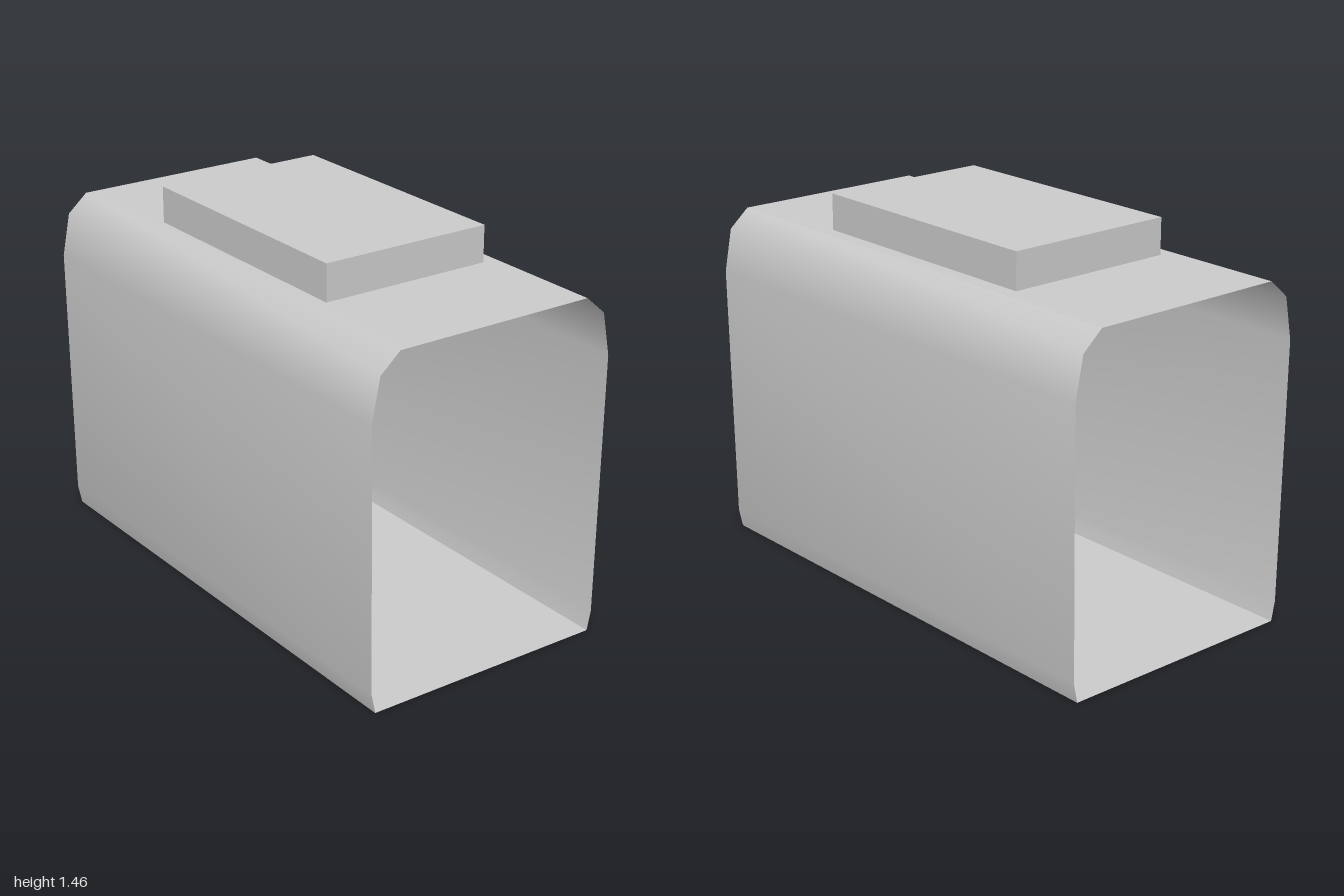
import * as THREE from 'three';
import { toCreasedNormals } from 'three/addons/utils/BufferGeometryUtils.js';

// Open-ended sleeve: a closed cross-section swept along z, without wall thickness
function sleeveGeometry(half, length) {
  const mirrored = half.map(([x, y]) => [-x, y]).reverse();
  const loop = [...half, ...mirrored];
  const z = length / 2;
  const positions = [];
  loop.forEach((p, i) => {
    const q = loop[(i + 1) % loop.length];
    positions.push(...p, -z, ...q, -z, ...q, z);
    positions.push(...p, -z, ...q, z, ...p, z);
  });
  const geometry = new THREE.BufferGeometry();
  geometry.setAttribute('position', new THREE.Float32BufferAttribute(positions, 3));
  return toCreasedNormals(geometry, 0.69);
}

export function createModel() {
  const model = new THREE.Group();
  model.name = 'sleeveWithTopBlock';

  const grey = new THREE.MeshStandardMaterial({ color: 0xcccccc, side: THREE.DoubleSide });
  grey.name = 'light grey';

  // Half of the cross-section, from the floor edge up to the roof edge
  const half = [[0.484, 0], [0.5, 0.075], [0.512, 1.08], [0.48, 1.245], [0.4, 1.315]];
  const sleeve = new THREE.Mesh(sleeveGeometry(half, 2), grey);
  sleeve.name = 'sleeve';
  model.add(sleeve);

  // Flat block resting on the roof
  const block = new THREE.Mesh(new THREE.BoxGeometry(0.686, 0.14, 1.036), grey);
  block.position.y = 1.385;
  block.name = 'topBlock';
  model.add(block);

  return model;
}
